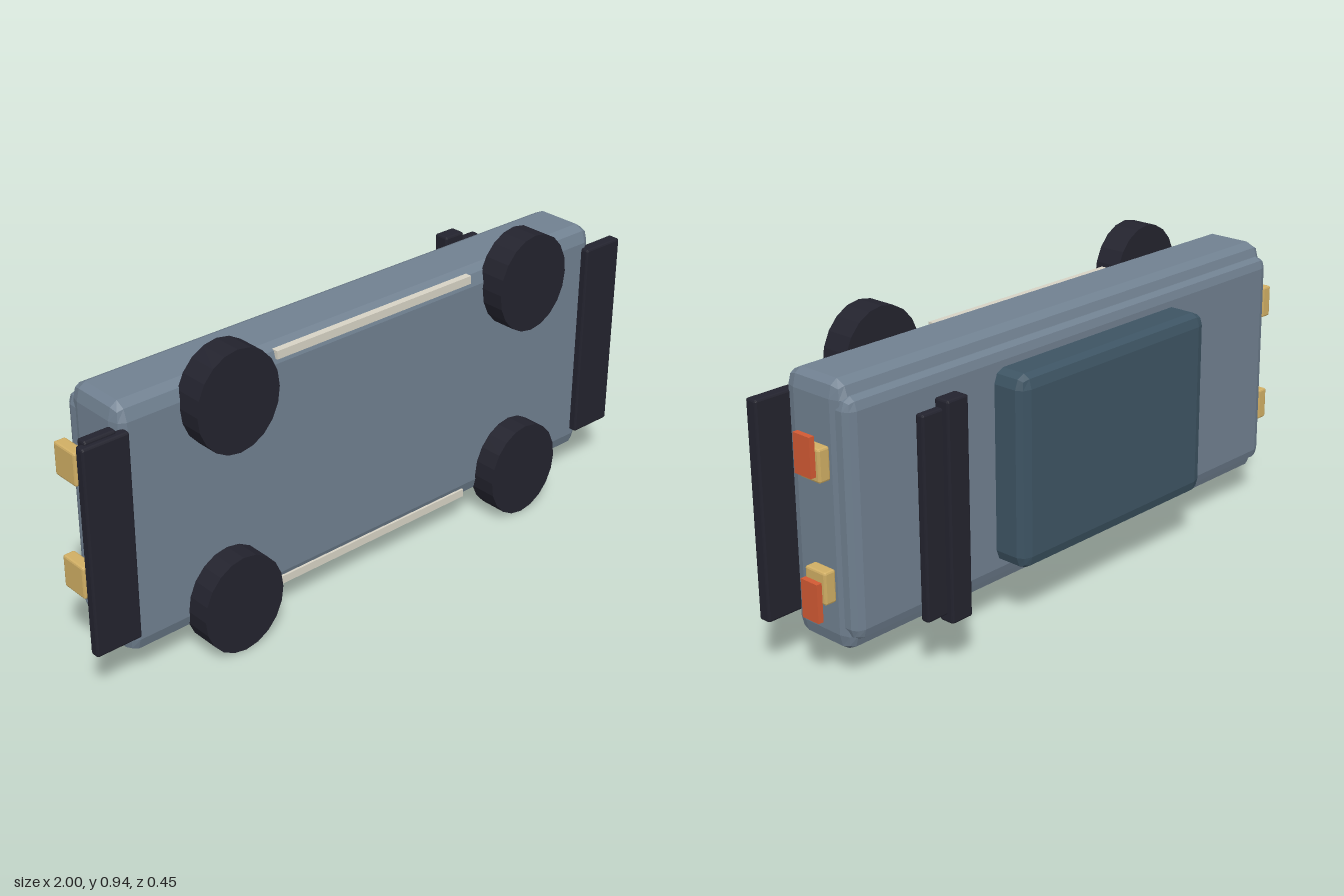
import * as THREE from 'three';
import { RoundedBoxGeometry } from 'three/addons/geometries/RoundedBoxGeometry.js';

const material = (name, color) => {
  const m = new THREE.MeshStandardMaterial({ color, flatShading: true });
  m.name = name;
  return m;
};

export function createModel() {
  const group = new THREE.Group();
  const slate = material('slate paint', 0x708090);
  const glass = material('dark teal glass', 0x3d5463);
  const black = material('black rubber', 0x23232e);
  const amber = material('pale amber lamp', 0xd0ae64);
  const red = material('orange red lamp', 0xd25a34);
  const trim = material('ivory trim', 0xd6d2c4);

  const add = (name, geometry, mat, x, y, z) => {
    const mesh = new THREE.Mesh(geometry, mat);
    mesh.name = name;
    mesh.position.set(x, y, z);
    group.add(mesh);
    return mesh;
  };

  // Box from [min, max] ranges, with an optional bevel given per axis
  const box = (name, mat, [x0, x1], [y0, y1], [z0, z1], bevel) => {
    const w = x1 - x0, h = y1 - y0, d = z1 - z0;
    let geometry;
    if (bevel) {
      const [bx, by, bz] = bevel;
      geometry = new RoundedBoxGeometry(w / bx, h / by, d / bz, 1, 1);
      geometry.scale(bx, by, bz);
    } else {
      geometry = new THREE.BoxGeometry(w, h, d);
    }
    return add(name, geometry, mat, (x0 + x1) / 2, (y0 + y1) / 2, (z0 + z1) / 2);
  };

  // Car lies on its side: the roof points to -z, the wheels to +z
  box('lowerBody', slate, [-0.88, 0.895], [0.087, 0.853], [-0.065, 0.153], [0.03, 0.05, 0.04]);
  box('upperBody', slate, [-0.875, 0.89], [0.128, 0.812], [-0.09, 0.05], [0.03, 0.035, 0.025]);
  box('cabin', glass, [-0.43, 0.365], [0.181, 0.757], [-0.195, -0.05], [0.035, 0.04, 0.028]);

  // Wheels, slightly taller than wide
  for (const x of [-0.548, 0.56]) {
    for (const y of [0.152, 0.785]) {
      const geometry = new THREE.CylinderGeometry(1, 1, 0.089, 20);
      geometry.rotateX(Math.PI / 2).scale(0.137, 0.152, 1);
      add('wheel', geometry, black, x, y, 0.182);
    }
  }

  // Bumpers
  const edge = [0.006, 0.006, 0.006];
  box('frontSplitter', black, [-1, -0.855], [0.157, 0.787], [0.139, 0.17], edge);
  box('frontBumper', black, [-0.983, -0.885], [0.147, 0.797], [0.123, 0.155], edge);
  box('rearBumper', black, [0.853, 1], [0.155, 0.787], [0.138, 0.177], edge);

  // Rear wing
  box('wingBlade', black, [0.6, 0.745], [0.176, 0.763], [-0.207, -0.18], edge);
  box('wingFlap', black, [0.6, 0.675], [0.153, 0.787], [-0.227, -0.178], edge);

  // Lamps, mirrored about the middle of the car
  const mid = 0.47;
  for (const s of [-1, 1]) {
    const span = (a, b) => [mid + s * a, mid + s * b].sort((p, q) => p - q);
    box('headlamp', amber, [-0.94, -0.902], span(0.125, 0.225), [-0.06, 0.034], edge);
    box('rearInnerLamp', amber, [0.917, 0.955], span(0.125, 0.219), [-0.046, 0.032], edge);
    box('tailLamp', red, [0.965, 0.982], span(0.148, 0.26), [-0.045, 0.018]);
    box('sillStrip', trim, [-0.36, 0.37], span(0.347, 0.372), [0.125, 0.156]);
  }
  return group;
}
